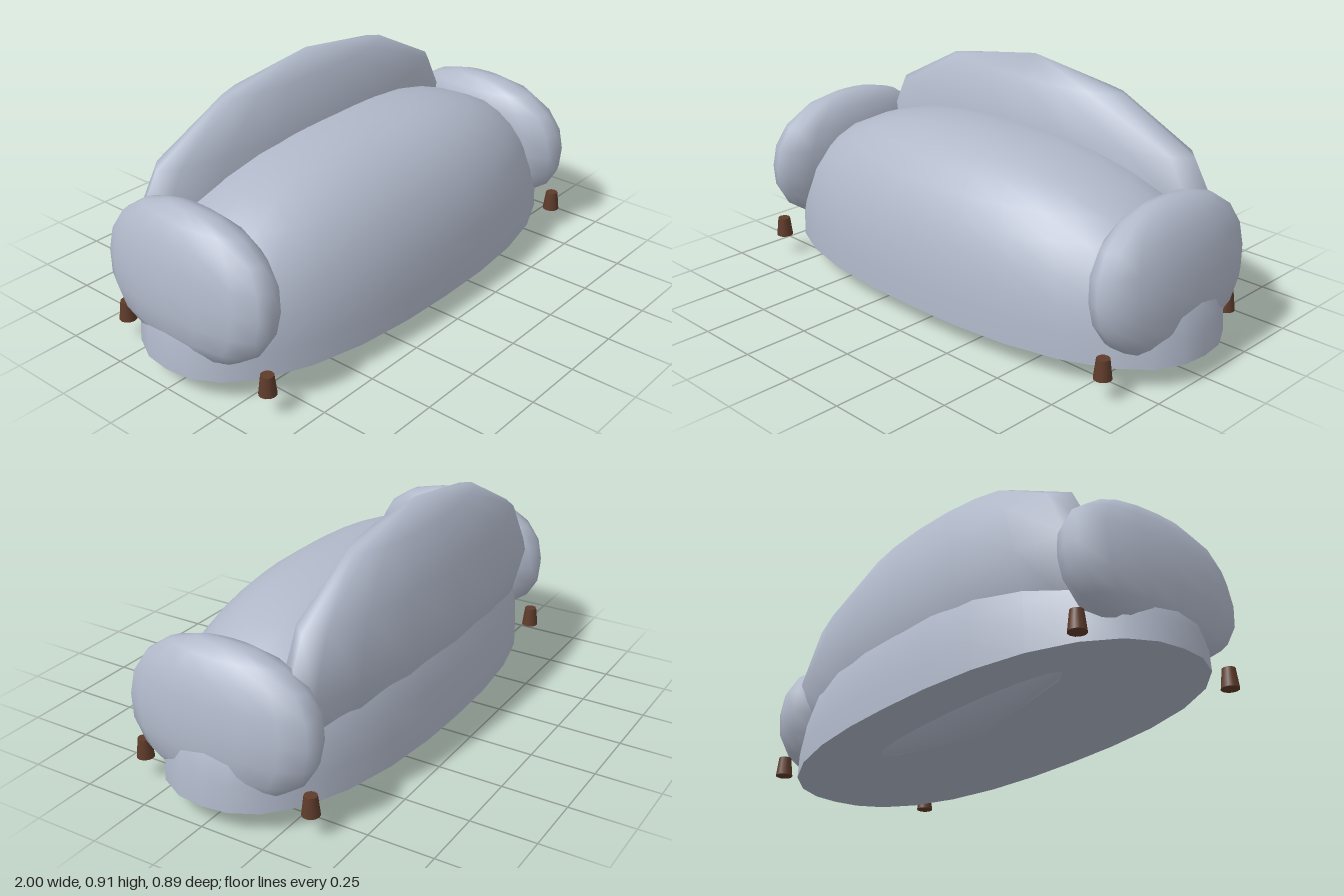
import * as THREE from 'three';
import { mergeVertices } from 'three/addons/utils/BufferGeometryUtils.js';

const fabric = new THREE.MeshStandardMaterial({ color: 0xb0b8c9 });
const wood = new THREE.MeshStandardMaterial({ color: 0x5e3b2a });

// Puffs a unit sphere or disc out to a rounded block: n = 2 is an ellipsoid, higher is boxier
function puff(geometry, size, n, bend) {
  geometry.deleteAttribute('uv');
  geometry.deleteAttribute('normal');
  const p = geometry.attributes.position;
  const v = new THREE.Vector3();
  for (let i = 0; i < p.count; i++) {
    v.fromBufferAttribute(p, i);
    const sum = Math.abs(v.x) ** n + Math.abs(v.y) ** n + Math.abs(v.z) ** n;
    if (sum > 0.01) v.divideScalar(sum ** (1 / n));
    if (bend) bend(v);
    p.setXYZ(i, v.x * size[0], v.y * size[1], v.z * size[2]);
  }
  const merged = mergeVertices(geometry, 1e-4);
  merged.computeVertexNormals();
  return merged;
}

export function createModel() {
  const group = new THREE.Group();
  const add = (name, geometry, material, x, y, z) => {
    const mesh = new THREE.Mesh(geometry, material);
    mesh.name = name;
    mesh.position.set(x, y, z);
    group.add(mesh);
    return mesh;
  };

  // Domed seat with a flat underside
  const seatSize = [1, 0.6, 0.446];
  const dome = new THREE.SphereGeometry(1, 28, 10, 0, Math.PI * 2, 0, Math.PI / 2);
  add('seat', puff(dome, seatSize, 2.4), fabric, 0, 0.082, 0);
  const disc = new THREE.CircleGeometry(1, 28).rotateX(Math.PI / 2);
  add('seatUnderside', puff(disc, seatSize, 2.4), fabric, 0, 0.082, 0);

  // Peaked backrest cushion, its lower half narrowing and sweeping forward to a point under the seat
  const back = puff(new THREE.SphereGeometry(1, 16, 6), [0.875, 0.455, 0.183], 2, (v) => {
    const y2 = v.y * v.y;
    if (v.y < 0) {
      v.x = v.x * (1 + 0.2 * y2) - 0.15 * y2;
      v.z = v.z * (1 - 0.35 * y2) + 0.6 * y2;
    } else {
      v.z += 0.1 * v.y;
    }
    v.y *= 1 - 0.15 * Math.abs(v.y) * (1 - y2);
  });
  add('backrest', back, fabric, -0.015, 0.455, -0.255);

  // Puffy arms leaning inward
  for (const side of [-1, 1]) {
    const arm = puff(new THREE.SphereGeometry(1, 16, 10), [0.132, 0.272, 0.385], 2.3, (v) => {
      if (v.y < 0) v.y *= 0.97;
    });
    const x = side < 0 ? -0.862 : 0.838;
    const mesh = add(side < 0 ? 'rightArm' : 'leftArm', arm, fabric, x, side < 0 ? 0.376 : 0.346, 0.006);
    mesh.rotation.z = side * 0.1;
  }

  // Tapered feet
  for (const x of [-0.875, 0.85]) {
    for (const z of [0.362, -0.342]) {
      const foot = new THREE.CylinderGeometry(0.024, 0.033, 0.075, 12);
      add((z > 0 ? 'front' : 'back') + (x < 0 ? 'RightFoot' : 'LeftFoot'), foot, wood, x, 0.12, z);
    }
  }

  return group;
}
